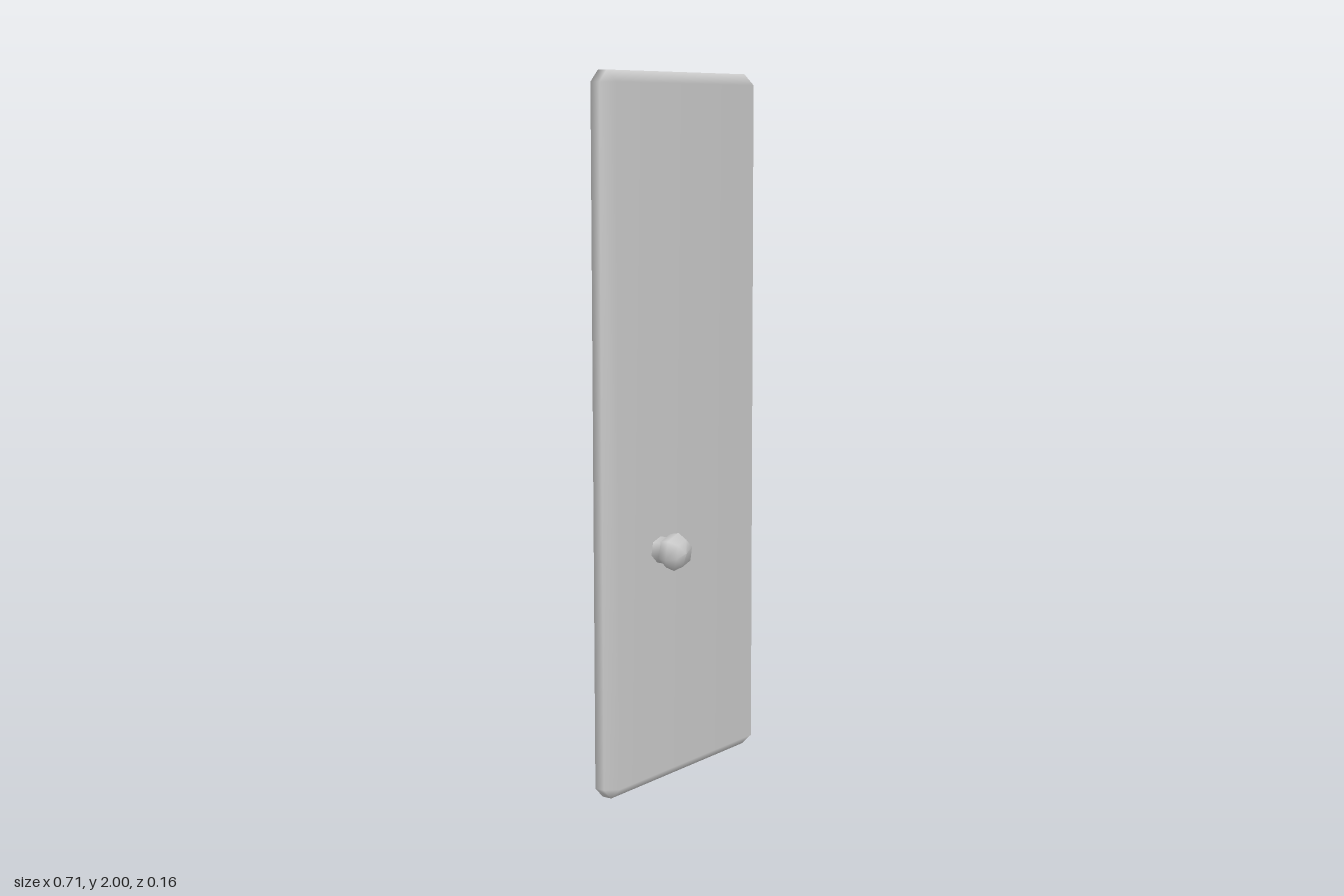
import * as THREE from 'three';
import { mergeVertices } from 'three/addons/utils/BufferGeometryUtils.js';

const W = 0.355, H = 1, BEVEL = 0.032;
const BACK = -0.08, SIDE = -0.05, FRONT = -0.018;

// Rectangle with cut corners, counter-clockwise from the front; inset moves the straight edges in
function panelLoop(z, inset) {
  const a = W - BEVEL, b = H - BEVEL, w = W - inset, h = H - inset;
  return [[w, -b], [w, b], [a, h], [-a, h], [-w, b], [-w, -b], [-a, -h], [a, -h]]
    .map(([x, y]) => [x, y + H, z]);
}

// Flat back, upright edges, then a single bevel towards a plain rectangular front
function panelGeometry() {
  const loops = [panelLoop(BACK, 0), panelLoop(SIDE, 0), panelLoop(FRONT, BEVEL)];
  const index = [], n = 8;
  for (let r = 0; r < 2; r++) {
    for (let i = 0; i < n; i++) {
      const j = (i + 1) % n, a = r * n + i, b = r * n + j;
      index.push(a, b, b + n, a, b + n, a + n);
    }
  }
  for (let i = 1; i < n - 1; i++) {
    index.push(0, i + 1, i);
    index.push(2 * n, 2 * n + i, 2 * n + i + 1);
  }
  const g = new THREE.BufferGeometry();
  g.setAttribute('position', new THREE.Float32BufferAttribute(loops.flat(2), 3));
  g.setIndex(index);
  const merged = mergeVertices(g);
  merged.computeVertexNormals();
  return merged;
}

// Six-sided turned knob with a short neck, pointing forwards
function knobGeometry() {
  const profile = [[0.037, FRONT], [0.037, 0.008], [0.047, 0.014], [0.053, 0.042], [0.038, 0.07], [0, 0.078]]
    .map(([r, z]) => new THREE.Vector2(r, z));
  const g = new THREE.LatheGeometry(profile, 6);
  g.rotateX(Math.PI / 2);
  g.rotateZ(THREE.MathUtils.degToRad(18 + 90));
  return g;
}

export function createModel() {
  const group = new THREE.Group();
  const material = new THREE.MeshStandardMaterial({ color: 0xcccccc });

  const panel = new THREE.Mesh(panelGeometry(), material);
  panel.name = 'doorPanel';

  const knob = new THREE.Mesh(knobGeometry(), material);
  knob.name = 'doorKnob';
  knob.position.set(-0.14, 0.68, 0);

  group.add(panel, knob);
  return group;
}
